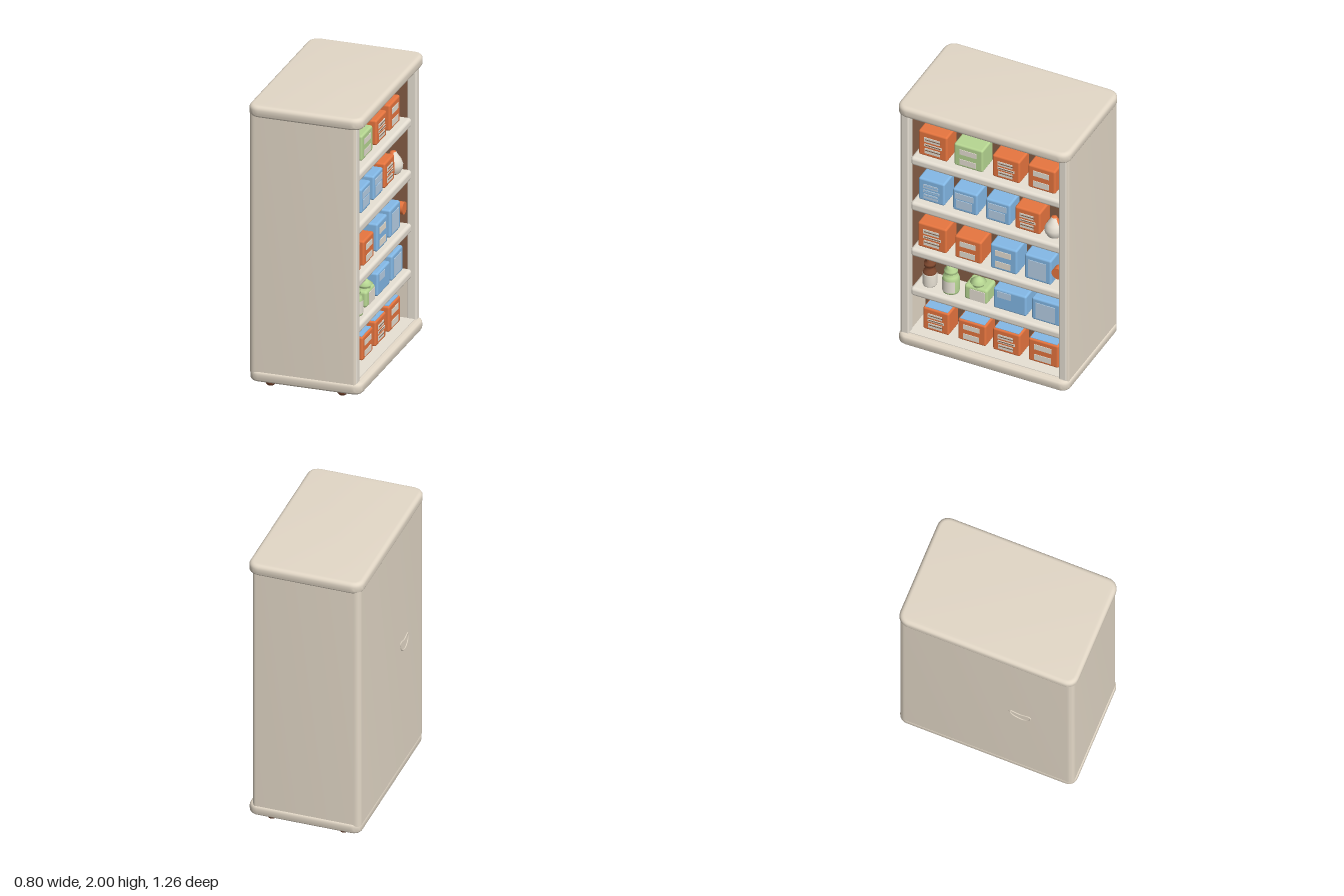
import * as THREE from 'three';
import { toCreasedNormals } from 'three/addons/utils/BufferGeometryUtils.js';
import { RoundedBoxGeometry } from 'three/addons/geometries/RoundedBoxGeometry.js';

const paint = (name, color) => Object.assign(new THREE.MeshStandardMaterial({ color }), { name });

export function createModel() {
  const root = new THREE.Group();
  root.name = 'stockedCabinet';
  const M = {
    body: paint('warm beige', 0xe3d8c7),
    frame: paint('cream', 0xf4ede0),
    inner: paint('interior brown', 0x865e46),
    wood: paint('dark brown', 0x7d472e),
    orange: paint('orange', 0xf07a42),
    green: paint('green', 0xb7d792),
    blue: paint('blue', 0x8ac2f2),
    pale: paint('pale blue', 0xbcd5ec),
    label: paint('label white', 0xf0e9dc),
  };

  const add = (name, geo, mat, x = 0, y = 0, z = 0, parent = root) => {
    const mesh = new THREE.Mesh(geo, mat);
    mesh.name = name;
    mesh.position.set(x, y, z);
    parent.add(mesh);
    return mesh;
  };
  // box given by its limits; r > 0 rounds it
  const block = (name, mat, x0, x1, y0, y1, z0, z1, r = 0, parent = root) => {
    const s = [x1 - x0, y1 - y0, z1 - z0];
    const geo = r ? new RoundedBoxGeometry(...s, 3, r) : new THREE.BoxGeometry(...s);
    return add(name, geo, mat, (x0 + x1) / 2, (y0 + y1) / 2, (z0 + z1) / 2, parent);
  };
  // plan outline extruded upward from y0 to y1
  const rise = (name, shape, y0, y1, bevel) => {
    let geo = new THREE.ExtrudeGeometry(shape, {
      depth: y1 - y0 - 2 * bevel, curveSegments: 8, bevelEnabled: bevel > 0,
      bevelSize: bevel, bevelThickness: bevel, bevelSegments: 5,
    });
    geo.rotateX(-Math.PI / 2);
    geo = toCreasedNormals(geo, 0.7);
    return add(name, geo, M.body, 0, y0 + bevel, 0);
  };
  const roundedPlan = (x0, x1, h, r) => {
    const s = new THREE.Shape();
    s.moveTo(x0 + r, -h);
    s.lineTo(x1 - r, -h);
    s.quadraticCurveTo(x1, -h, x1, -h + r);
    s.lineTo(x1, h - r);
    s.quadraticCurveTo(x1, h, x1 - r, h);
    s.lineTo(x0 + r, h);
    s.quadraticCurveTo(x0, h, x0, h - r);
    s.lineTo(x0, -h + r);
    s.quadraticCurveTo(x0, -h, x0 + r, -h);
    return s;
  };

  // carcass: C-shaped plan, open towards +x
  const X0 = -0.388, X1 = 0.358, H = 0.617, R = 0.045, IN = 0.552, BACK = 0.1;
  const c = new THREE.Shape();
  c.moveTo(X0 + R, -H);
  c.lineTo(X1 - 0.02, -H);
  c.quadraticCurveTo(X1, -H, X1, -H + 0.02);
  c.lineTo(X1, -IN);
  c.lineTo(BACK, -IN);
  c.lineTo(BACK, IN);
  c.lineTo(X1, IN);
  c.lineTo(X1, H - 0.02);
  c.quadraticCurveTo(X1, H, X1 - 0.02, H);
  c.lineTo(X0 + R, H);
  c.quadraticCurveTo(X0, H, X0, H - R);
  c.lineTo(X0, -H + R);
  c.quadraticCurveTo(X0, -H, X0 + R, -H);
  rise('carcass', c, 0.1, 1.94, 0);
  rise('topSlab', roundedPlan(-0.372, 0.372, 0.602, 0.055), 1.918, 2, 0.028);
  rise('baseSlab', roundedPlan(-0.362, 0.367, 0.597, 0.04), 0.04, 0.122, 0.028);

  // interior lining
  block('backLining', M.inner, BACK, 0.106, 0.12, 1.92, -IN, IN);
  block('ceilingLining', M.inner, BACK, 0.31, 1.9, 1.919, -IN, IN);
  for (const s of [-1, 1]) {
    const side = s > 0 ? 'left' : 'right';
    add(side + 'Lining', new THREE.BoxGeometry(0.2, 1.46, 0.006), M.inner, 0.2, 1.18, s * 0.55);
    add(side + 'Post', new RoundedBoxGeometry(0.068, 1.83, 0.058, 3, 0.012), M.frame, 0.329, 1.015, s * 0.577);
  }
  block('topRail', M.frame, 0.3, 0.335, 1.88, 1.92, -IN, IN, 0.01);
  block('floorPanel', M.frame, BACK, 0.35, 0.118, 0.126, -IN, IN);

  // shelves
  [[1.49, 1.555], [1.115, 1.185], [0.74, 0.805], [0.415, 0.48]].forEach(([y0, y1], i) => {
    block('shelf', M.frame, BACK, 0.332, y0, y1, -IN, IN, 0.022);
    if (i < 3) block('shelfUnderside', M.inner, BACK, 0.3, y0 - 0.004, y0 + 0.01, -0.545, 0.545);
  });

  // feet
  for (const x of [-0.255, 0.245]) for (const z of [-0.555, 0.555]) {
    add('foot', new THREE.SphereGeometry(0.037, 18, 12), M.wood, x, 0.04, z);
  }

  // cartons: shelf height, front x, then [z low, z high, top, colour, label strips]
  // label strips: [z from, z to, y from, y to] as fractions of the front
  const bars = [[0.2, 0.75, 0.6, 0.78], [0.2, 0.82, 0.42, 0.52], [0.22, 0.75, 0.14, 0.34]];
  const two = [[0.2, 0.78, 0.58, 0.8], [0.2, 0.77, 0.12, 0.36]];
  const big = [[0.12, 0.85, 0.58, 0.84], [0.15, 0.8, 0.15, 0.52]];
  const patch = [[0.13, 0.55, 0.6, 0.9]];
  const tall = [[0.15, 0.82, 0.12, 0.82]];
  const rows = [
    [1.552, 0.275, [0.31, 0.52, 1.752, 'orange', bars], [0.05, 0.26, 1.73, 'green', two],
      [-0.22, -0.02, 1.73, 'orange', bars], [-0.48, -0.28, 1.738, 'orange', two]],
    [1.182, 0.275, [0.33, 0.52, 1.36, 'blue', bars], [0.09, 0.27, 1.355, 'blue', big],
      [-0.15, 0.03, 1.353, 'blue', big], [-0.37, -0.185, 1.36, 'orange', bars]],
    [0.802, 0.285, [0.31, 0.52, 1.0, 'orange', bars], [0.055, 0.25, 0.98, 'orange', two],
      [-0.205, -0.01, 1.0, 'blue', two], [-0.455, -0.26, 1.0, 'blue', tall]],
    [0.477, 0.28, [-0.27, -0.03, 0.64, 'blue', patch], [-0.52, -0.31, 0.655, 'blue', tall]],
    [0.122, 0.27, [0.3, 0.49, 0.3, 'orange', bars], [0.03, 0.235, 0.29, 'orange', two],
      [-0.22, -0.02, 0.3, 'orange', bars], [-0.5, -0.28, 0.305, 'orange', two]],
  ];
  rows.forEach(([y, front, ...cartons], row) => cartons.forEach(([z0, z1, top, color, strips]) => {
    const g = new THREE.Group();
    g.name = color + 'Carton';
    root.add(g);
    block('carton', M[color], 0.12, front, y, top, z0, z1, 0.014, g);
    const w = z1 - z0, h = top - y;
    const paper = color === 'blue' && strips !== two ? M.pale : M.label;
    for (const [a, b, d, e] of strips) {
      block('label', paper, front - 0.002, front + 0.004, y + d * h, y + e * h, z1 - b * w, z1 - a * w, 0, g);
    }
    // printed rules across the striped labels
    if (strips === bars) for (const f of [0.68, 0.46, 0.25]) {
      block('printedRule', color === 'orange' ? M.inner : M.blue, front + 0.002, front + 0.0055,
        y + f * h, y + f * h + 0.006, z1 - 0.78 * w, z1 - 0.24 * w, 0, g);
    }
    if (row === 4) block('cartonTop', M.blue, 0.13, front - 0.01, top - 0.002, top + 0.003, z0 + 0.012, z1 - 0.012, 0, g);
  }));

  // turned containers, profiles as [radius, height]; a and span limit the sweep
  const turn = (name, mat, pts, y, z, a = 0, span = Math.PI * 2) =>
    add(name, new THREE.LatheGeometry(pts.map(p => new THREE.Vector2(...p)), 28, a, span), mat, 0.235, y, z);
  const Y4 = 0.478;
  turn('smallBottleBody', M.label, [[0, 0], [0.045, 0], [0.049, 0.012], [0.049, 0.09], [0.044, 0.102], [0, 0.104]], Y4, 0.455);
  turn('smallBottleCap', M.wood, [[0.046, 0.098], [0.042, 0.115], [0.022, 0.13], [0.02, 0.15], [0.04, 0.158],
    [0.04, 0.178], [0.02, 0.185], [0.018, 0.21], [0, 0.213]], Y4, 0.455);
  turn('greenBottle', M.green, [[0, 0], [0.055, 0], [0.058, 0.012], [0.058, 0.105], [0.05, 0.13], [0.032, 0.145],
    [0.045, 0.155], [0.045, 0.172], [0.03, 0.185], [0.028, 0.21], [0, 0.214]], Y4, 0.3);
  add('bottleLabel', new THREE.CylinderGeometry(0.061, 0.061, 0.09, 16, 1, true, Math.PI / 2 - 0.9, 1.8),
    M.label, 0.235, 0.54, 0.3);
  // squared jar with a turned lid
  block('greenJar', M.green, 0.14, 0.28, Y4, 0.595, 0.015, 0.185, 0.02);
  block('jarLabel', M.label, 0.276, 0.284, 0.49, 0.575, 0.03, 0.14);
  turn('jarLid', M.green, [[0.04, 0.11], [0.04, 0.125], [0.055, 0.14], [0.03, 0.16], [0.015, 0.175], [0, 0.178]], Y4, 0.1);

  // vase with a white front panel, and a round ornament
  const vase = [[0.036, 0], [0.045, 0.012], [0.06, 0.04], [0.063, 0.07], [0.05, 0.105], [0.025, 0.14], [0.018, 0.157], [0, 0.16]];
  turn('vase', M.orange, vase, 1.182, -0.455);
  turn('vasePanel', M.label, vase.slice(1, -1).map(([r, h]) => [r + 0.003, h]), 1.182, -0.455, Math.PI / 2 - 1.1, 2.2);
  const disc = add('roundOrnament', new THREE.CylinderGeometry(0.043, 0.043, 0.05, 28), M.orange, 0.27, 0.922, -0.507);
  disc.rotation.z = Math.PI / 2;

  // small raised crest outline on the rear panel
  const crest = new THREE.CatmullRomCurve3([[1.06, 0.17], [1.05, 0.24], [1.06, 0.31], [1.01, 0.31], [0.975, 0.26], [1.0, 0.19]]
    .map(([y, z]) => new THREE.Vector3(X0, y, z)), true);
  add('rearCrest', new THREE.TubeGeometry(crest, 40, 0.006, 6, true), M.body);
  return root;
}
